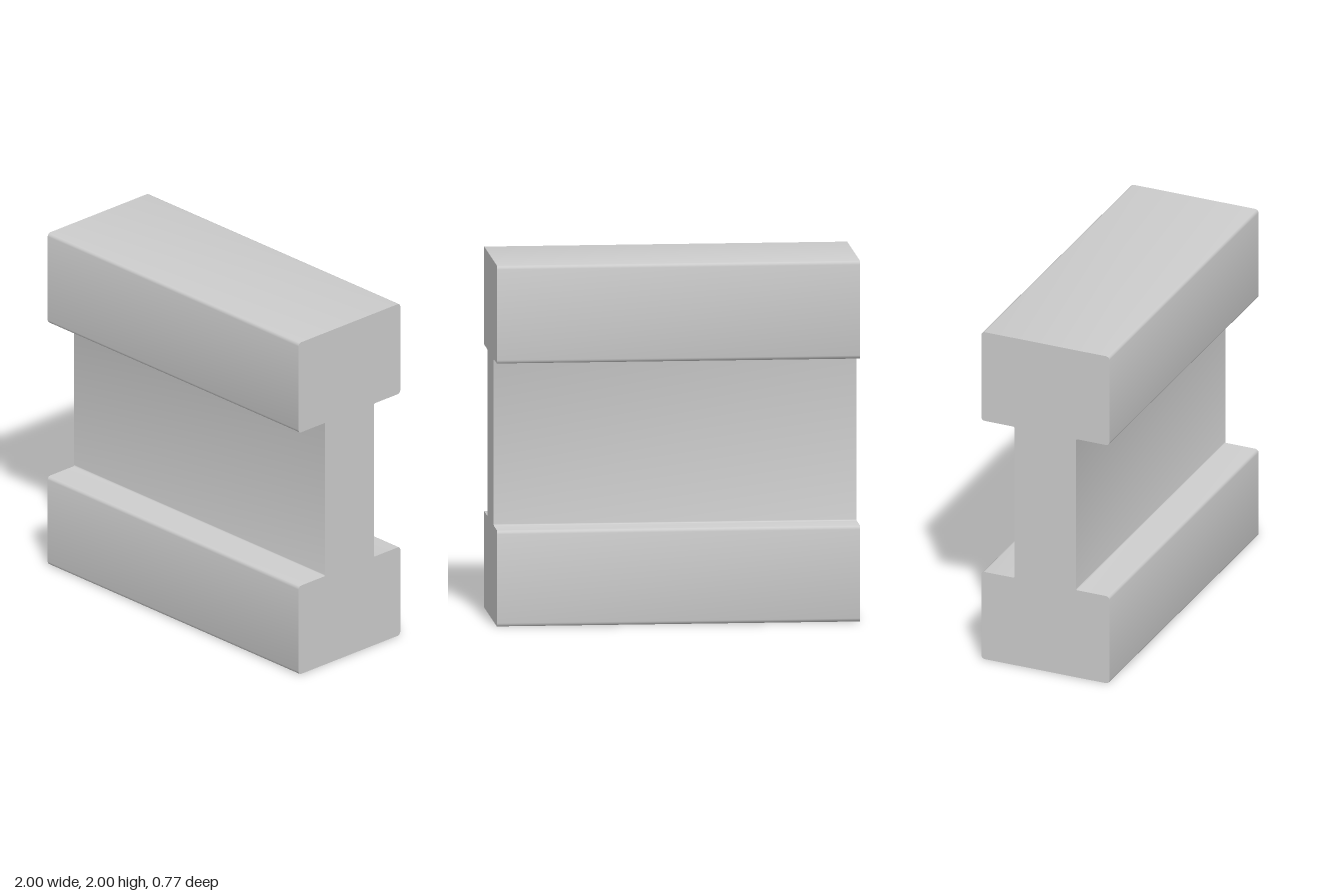
import * as THREE from 'three';
import { toCreasedNormals } from 'three/addons/utils/BufferGeometryUtils.js';

const LENGTH = 2, HALF_FLANGE = 0.385, HALF_WEB = 0.185;
const LOWER = 0.533, UPPER = 1.457, HEIGHT = 2;
const OUTER_R = 0.02, INNER_R = 0.008;

// Closed outline whose corners [x, y, radius] are rounded off
function roundedOutline(corners) {
  const shape = new THREE.Shape();
  const n = corners.length;
  corners.forEach(([x, y, r], i) => {
    const p = new THREE.Vector2(x, y);
    const toward = ([a, b]) => new THREE.Vector2(a, b).sub(p).setLength(r).add(p);
    const start = toward(corners[(i + n - 1) % n]);
    const end = toward(corners[(i + 1) % n]);
    if (i === 0) shape.moveTo(start.x, start.y);
    else shape.lineTo(start.x, start.y);
    // Control point pulled in so the curve stays near a circular arc
    const k = 0.5523;
    const c1 = start.clone().lerp(p, k), c2 = end.clone().lerp(p, k);
    shape.bezierCurveTo(c1.x, c1.y, c2.x, c2.y, end.x, end.y);
  });
  shape.closePath();
  return shape;
}

export function createModel() {
  const group = new THREE.Group();
  group.name = 'flangedBeam';

  // One side of the I-shaped section, bottom to top, then mirrored
  const side = [
    [HALF_FLANGE, 0, OUTER_R],
    [HALF_FLANGE, LOWER, OUTER_R],
    [HALF_WEB, LOWER, INNER_R],
    [HALF_WEB, UPPER, INNER_R],
    [HALF_FLANGE, UPPER, OUTER_R],
    [HALF_FLANGE, HEIGHT, OUTER_R],
  ];
  const mirrored = side.map(([x, y, r]) => [-x, y, r]).reverse();
  const section = roundedOutline([...side, ...mirrored]);

  // Section swept along the beam's length
  let geometry = new THREE.ExtrudeGeometry(section, {
    depth: LENGTH, bevelEnabled: false, curveSegments: 3,
  });
  geometry.translate(0, 0, -LENGTH / 2);
  geometry.rotateY(Math.PI / 2);
  geometry = toCreasedNormals(geometry, Math.PI / 4);

  const beam = new THREE.Mesh(geometry, new THREE.MeshStandardMaterial({ color: 0xcccccc }));
  beam.name = 'beam';
  group.add(beam);
  return group;
}
